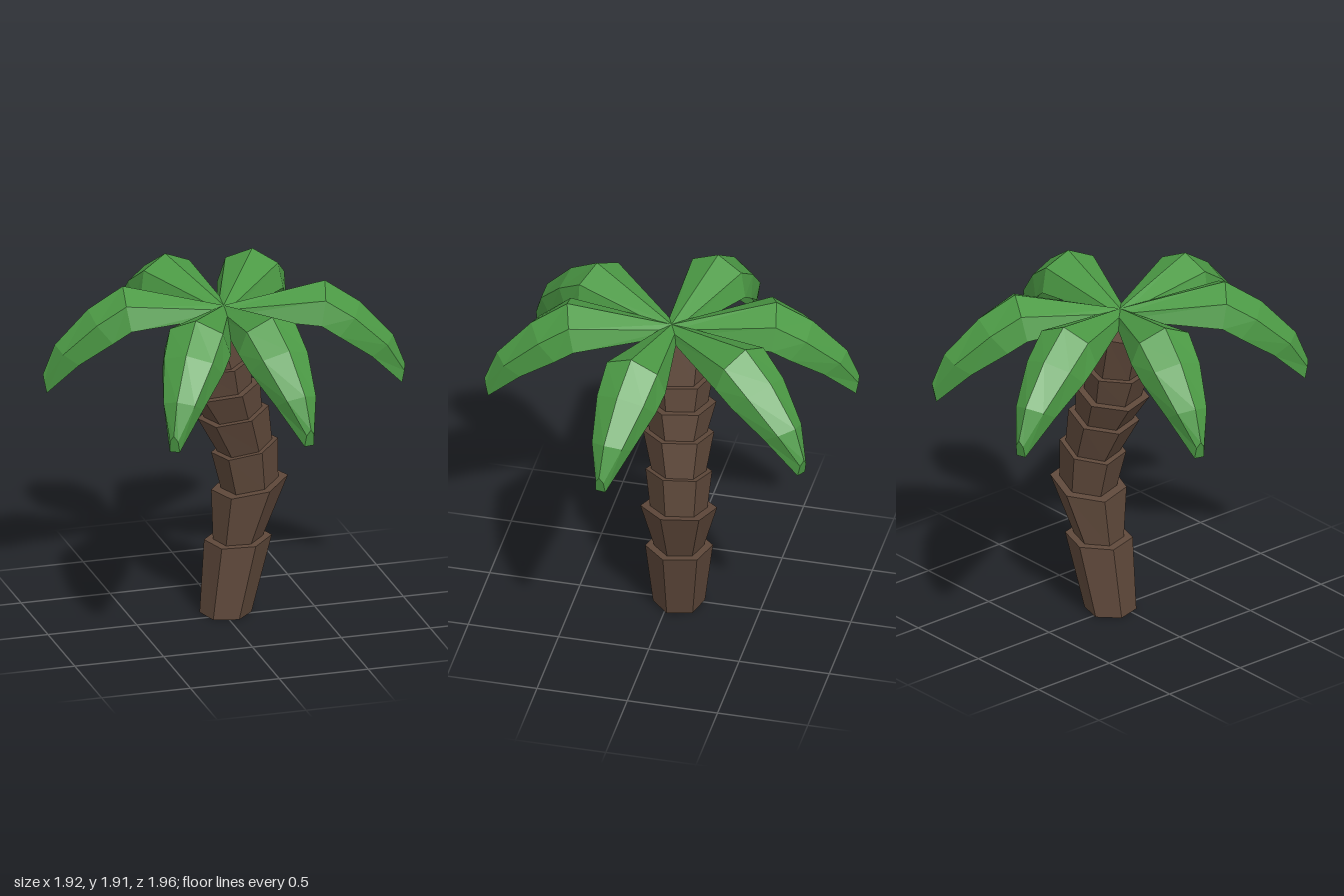
import * as THREE from 'three';

const bark = new THREE.MeshStandardMaterial({ color: 0x5e483a, flatShading: true });
const green = new THREE.MeshStandardMaterial({ color: 0x4c9a45, flatShading: true });

// Closed, faceted skin over a list of rings with equal point counts
function loft(rings) {
  const pos = [];
  const tri = (...pts) => pts.forEach((p) => pos.push(...p));
  const n = rings[0].length;
  for (let k = 0; k < rings.length - 1; k++) {
    const a = rings[k], b = rings[k + 1];
    for (let i = 0; i < n; i++) {
      const j = (i + 1) % n;
      tri(a[i], b[i], b[j]);
      tri(a[i], b[j], a[j]);
    }
  }
  const first = rings[0], last = rings[rings.length - 1];
  for (let i = 1; i < n - 1; i++) {
    tri(first[0], first[i], first[i + 1]);
    tri(last[0], last[i + 1], last[i]);
  }
  const g = new THREE.BufferGeometry();
  g.setAttribute('position', new THREE.Float32BufferAttribute(pos, 3));
  g.computeVertexNormals();
  return g;
}

// Hexagon around a centre, leaning so that it rises towards +x by slope
function hexRing([x, y, z], r, slope) {
  return Array.from({ length: 6 }, (_, i) => {
    const a = THREE.MathUtils.degToRad(15 + 60 * i);
    const dx = r * Math.cos(a);
    return [x + dx, y + dx * slope, z + r * Math.sin(a)];
  });
}

// Cross-section of a leaf: edge, shoulder, ridge, shoulder, edge, hollow underside
function leafRing([r, y, w, drop, tilt]) {
  const at = (side, d) => [r - d * drop * Math.sin(tilt), y - d * drop * Math.cos(tilt), side * w];
  return [at(1, 1), at(0.8, 0.33), at(0, 0), at(-0.8, 0.33), at(-1, 1), at(0, 0.6)];
}

export function createModel() {
  const model = new THREE.Group();

  // Trunk: flared segments, each growing out of the one below
  // bottom radius, top centre, top radius, top slope
  const segments = [
    [0.14, [0.09, 0.417, -0.07], 0.183, 0.07],
    [0.135, [0.16, 0.72, -0.085], 0.207, 0.2],
    [0.155, [0.13, 0.94, -0.078], 0.18, 0.23],
    [0.148, [0.06, 1.145, -0.06], 0.192, 0.19],
    [0.155, [0, 1.3, -0.05], 0.2, 0.16],
    [0.155, [-0.035, 1.45, -0.045], 0.18, 0.07],
    [0.145, [-0.1, 1.71, -0.055], 0.15, 0.2],
  ];
  const trunk = new THREE.Group();
  trunk.name = 'trunk';
  let centre = [0.015, 0, -0.052], slope = 0;
  segments.forEach(([r0, top, r1, topSlope], i) => {
    const g = loft([hexRing(centre, r0, slope), hexRing(top, r1, topSlope)]);
    const mesh = new THREE.Mesh(g, bark);
    mesh.name = `trunkSegment${i + 1}`;
    trunk.add(mesh);
    centre = top;
    slope = topSlope;
  });
  model.add(trunk);

  // Leaves: one arched shape, turned around the crown
  // distance out, ridge height, half width, depth, backward tilt
  const leafGeometry = loft([
    [0, 1.79, 0.04, 0.05, 0],
    [0.55, 1.91, 0.185, 0.2, 0.2],
    [0.74, 1.78, 0.17, 0.19, 0.75],
    [0.92, 1.58, 0.11, 0.15, 1.0],
    [0.985, 1.41, 0.028, 0.1, 0.2],
  ].map(leafRing));
  const crown = new THREE.Group();
  crown.name = 'crown';
  crown.position.set(-0.01, -0.002, -0.005);
  // direction in degrees from +x towards +z, length factor
  [[10, 1], [79, 1.025], [122, 1.04], [194, 0.99], [253, 1.03], [302.5, 1.04]].forEach(([deg, len], i) => {
    const leaf = new THREE.Mesh(leafGeometry, green);
    leaf.name = `leaf${i + 1}`;
    leaf.rotation.y = -THREE.MathUtils.degToRad(deg);
    leaf.scale.x = len;
    crown.add(leaf);
  });
  model.add(crown);

  return model;
}
